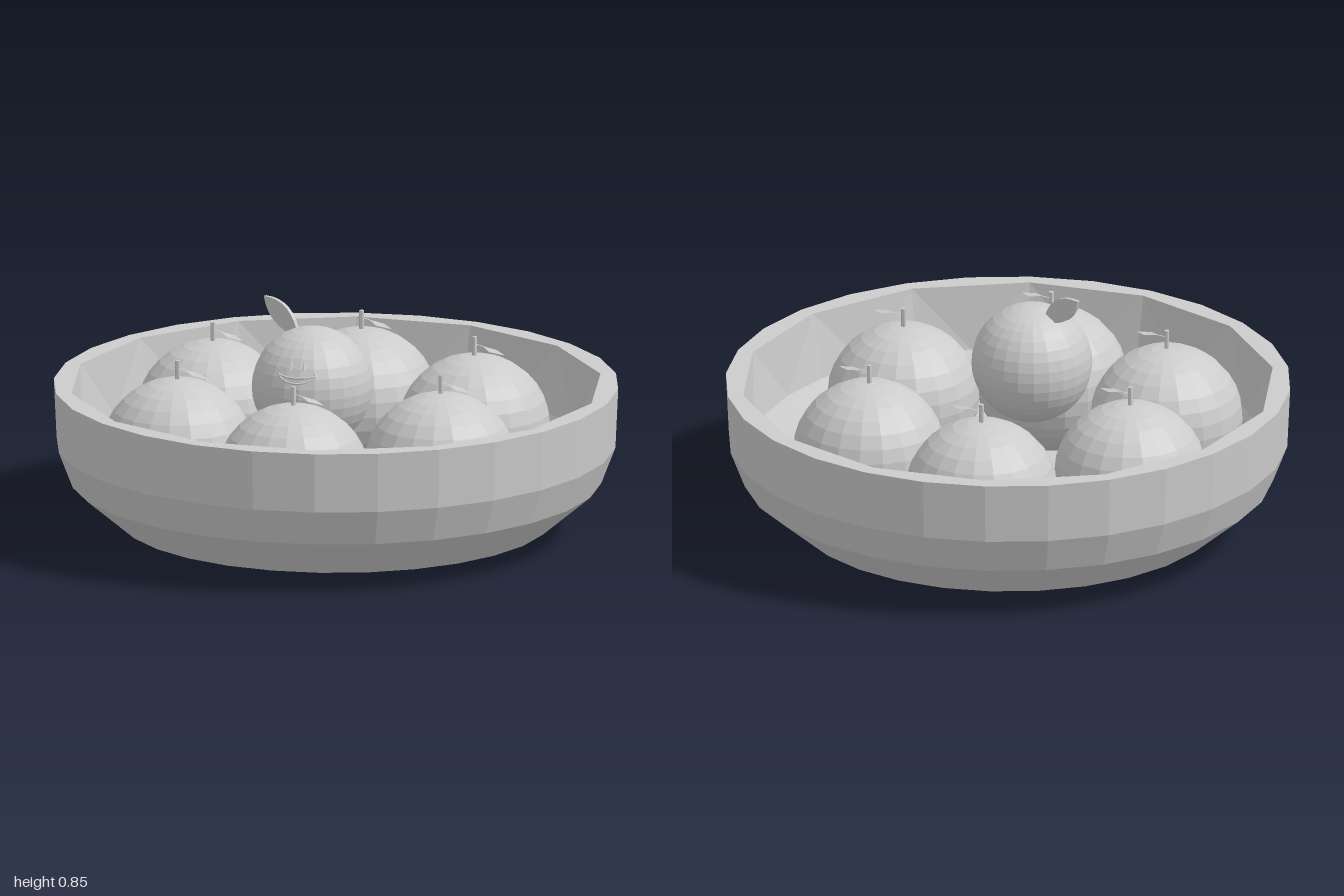
import * as THREE from 'three';

const mat = new THREE.MeshStandardMaterial({ color: 0xcccccc, flatShading: true });
const thinMat = new THREE.MeshStandardMaterial({ color: 0xcccccc, flatShading: true, side: THREE.DoubleSide });

function part(name, geometry, material = mat) {
  const mesh = new THREE.Mesh(geometry, material);
  mesh.name = name;
  return mesh;
}

// Bowl shell: 28-sided rings, with a coarser 14-sided inner lip
function bowlGeometry() {
  const N = 28;
  const rings = [ // radius, height, 14-sided?
    [0, 0], [0.58, 0], [0.765, 0.042], [0.94, 0.19], [0.99, 0.32], [1, 0.535],
    [0.945, 0.535, true], [0.9, 0.3], [0.83, 0.18], [0.76, 0.12], [0.62, 0.08], [0, 0.075],
  ];
  const pos = [], idx = [];
  rings.forEach(([r, y, coarse]) => {
    for (let j = 0; j < N; j++) {
      const a = (j / N) * Math.PI * 2;
      const q = coarse && j % 2 === 0 ? r * Math.cos(Math.PI / 14) : r;
      pos.push(q * Math.sin(a), y, q * Math.cos(a));
    }
  });
  for (let i = 0; i < rings.length - 1; i++) {
    for (let j = 0; j < N; j++) {
      const k = (j + 1) % N;
      const a = i * N + j, b = i * N + k, c = b + N, d = a + N;
      // alternate the diagonals so the inner wall forms a zigzag
      if (j % 2) idx.push(a, b, c, a, c, d);
      else idx.push(a, b, d, b, c, d);
    }
  }
  const g = new THREE.BufferGeometry();
  g.setAttribute('position', new THREE.Float32BufferAttribute(pos, 3));
  g.setIndex(idx);
  const flat = g.toNonIndexed();
  flat.computeVertexNormals();
  return flat;
}

// Small drooping leaf on a thin stalk, reaching along +x
function smallLeafGeometry() {
  const sections = [[0, 0.003, 0.04], [0.045, 0.003, 0.036], [0.09, 0.02, 0.028], [0.145, 0.001, 0.022]];
  const pos = [], idx = [];
  sections.forEach(([x, w, y], i) => {
    pos.push(x, y, -w, x, y, w);
    if (i) {
      const s = 2 * i;
      idx.push(s - 2, s - 1, s, s - 1, s + 1, s);
    }
  });
  const g = new THREE.BufferGeometry();
  g.setAttribute('position', new THREE.Float32BufferAttribute(pos, 3));
  g.setIndex(idx);
  g.computeVertexNormals();
  return g;
}

function createFruit(x, z) {
  const fruit = new THREE.Group();
  fruit.name = 'fruit';
  const body = part('fruitBody', new THREE.SphereGeometry(0.27, 20, 16));
  body.scale.y = 0.96;
  const stem = part('fruitStem', new THREE.CylinderGeometry(0.009, 0.009, 0.08, 6));
  stem.position.y = 0.285;
  const leaf = part('fruitLeaf', smallLeafGeometry(), thinMat);
  leaf.position.y = 0.26;
  fruit.add(body, stem, leaf);
  fruit.position.set(x, 0.338, z);
  return fruit;
}

// Raised line that follows the surface of the top fruit
function faceLine(name, points, radius, thickness) {
  const pts = points.map(([x, y]) =>
    new THREE.Vector3(x, y, Math.sqrt(radius * radius - x * x - y * y)));
  return part(name, new THREE.TubeGeometry(new THREE.CatmullRomCurve3(pts), 10, thickness, 5));
}

function createTopFruit() {
  const R = 0.214;
  const fruit = new THREE.Group();
  fruit.name = 'topFruit';
  fruit.add(part('topFruitBody', new THREE.SphereGeometry(R, 24, 18)));

  // Smiling face turned up and towards the front left
  const face = new THREE.Group();
  face.name = 'face';
  for (const s of [-1, 1]) {
    face.add(faceLine('eye', [[s * 0.025, 0.012], [s * 0.025, 0.028], [s * 0.024, 0.046]], R, 0.005));
    face.add(faceLine('mouthCorner', [[s * 0.066, 0.008], [s * 0.07, 0], [s * 0.072, -0.008]], R, 0.004));
  }
  face.add(faceLine('upperLip', [[-0.07, 0], [-0.035, -0.012], [0, -0.015], [0.035, -0.012], [0.07, 0]], R, 0.004));
  face.add(faceLine('lowerLip', [[-0.07, 0], [-0.04, -0.026], [0, -0.034], [0.04, -0.026], [0.07, 0]], R, 0.004));
  face.rotation.set(-0.43, 0.45, 0, 'YXZ');
  fruit.add(face);

  // Broad upright leaf
  const shape = new THREE.Shape();
  shape.moveTo(-0.06, 0.17);
  shape.quadraticCurveTo(-0.2, 0.18, -0.225, 0.29);
  shape.quadraticCurveTo(-0.09, 0.3, -0.06, 0.17);
  const leafGeo = new THREE.ExtrudeGeometry(shape, { depth: 0.014, bevelEnabled: false, curveSegments: 8 });
  leafGeo.translate(0, 0, -0.004);
  fruit.add(part('topFruitLeaf', leafGeo));

  fruit.position.set(0.025, 0.56, 0.15);
  return fruit;
}

export function createModel() {
  const model = new THREE.Group();
  model.name = 'fruitBowl';
  model.add(part('bowl', bowlGeometry()));
  const spots = [[-0.3, -0.455], [0.245, -0.455], [-0.57, 0.025], [0.525, 0.02], [-0.295, 0.505], [0.255, 0.495]];
  for (const [x, z] of spots) model.add(createFruit(x, z));
  model.add(createTopFruit());
  return model;
}
